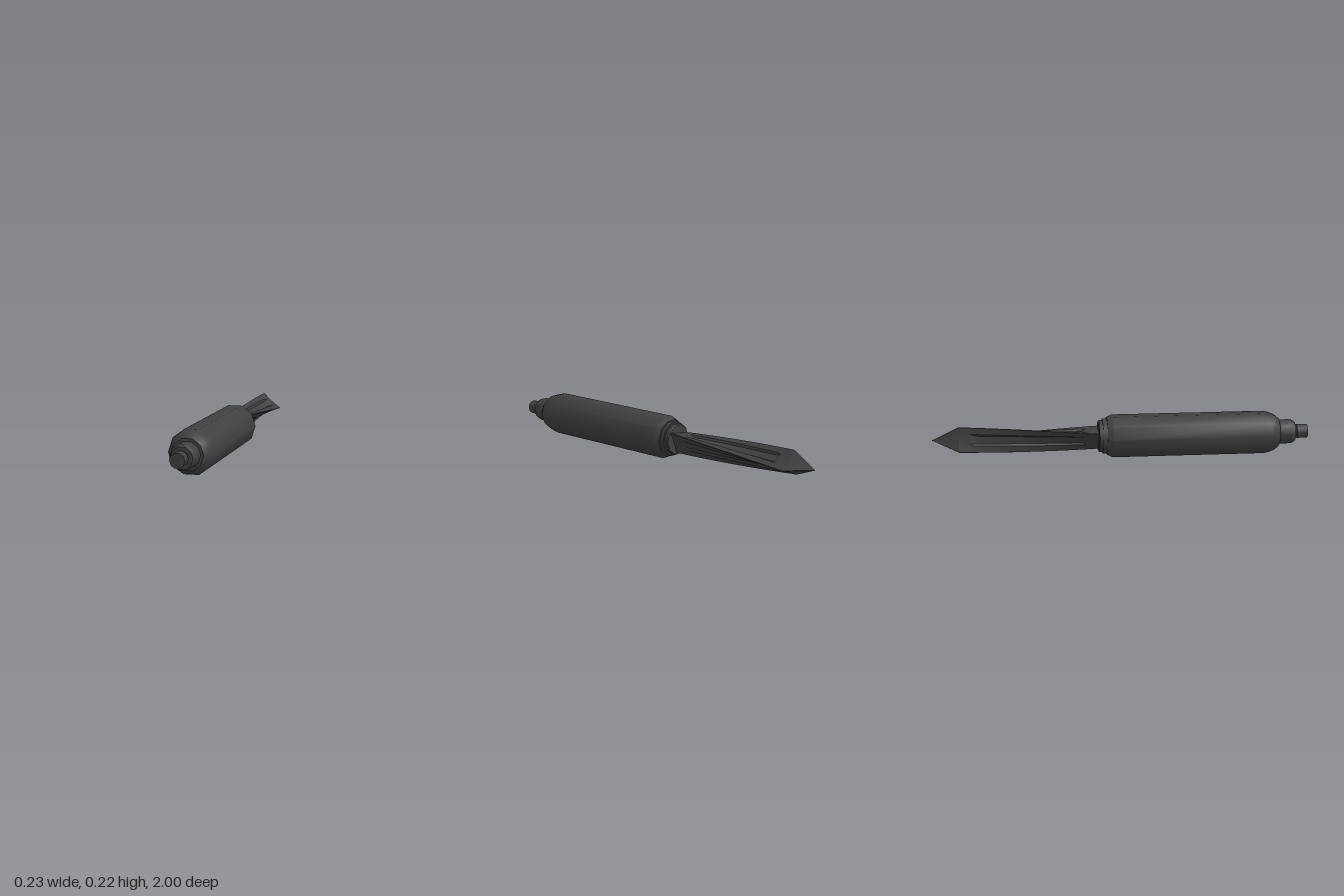
import * as THREE from 'three';
import { toCreasedNormals } from 'three/addons/utils/BufferGeometryUtils.js';

const AXIS_Y = 0.108;

// Ten-sided turned part along z; points are [radius, z] with z rising
function turned(name, points, material) {
  const profile = points.map(([r, z]) => new THREE.Vector2(r, z));
  const geometry = new THREE.LatheGeometry(profile, 10, Math.PI / 2);
  geometry.rotateX(Math.PI / 2);
  const mesh = new THREE.Mesh(toCreasedNormals(geometry, 0.7), material);
  mesh.name = name;
  return mesh;
}

// Twisted three-edged blade with a long groove sunk in each face
function bladeGeometry() {
  const stations = [-0.1, -0.13, -0.17, -0.195, -0.215];
  for (let i = 1; i < 14; i++) stations.push(-0.215 - i * 0.04);
  stations.push(-0.775, -0.8, -0.825, -0.86, -0.91, -0.96, -1);
  const across = [0.03, 0.28, 0.35, 0.65, 0.72, 0.97];
  const positions = [], index = [];

  for (const z of stations) {
    const along = THREE.MathUtils.clamp((-z - 0.13) / 0.73, 0, 1);
    const start = THREE.MathUtils.degToRad(38 - 49 * along);
    const radius = z > -0.86 ? 0.074 + 0.005 * along : Math.max(0.0005, 0.079 * (1 + z) / 0.14);
    const groove = z < -0.19 && z > -0.81 ? THREE.MathUtils.clamp(Math.min(-z - 0.195, 0.8 + z) / 0.02, 0, 1) : 0;
    for (let side = 0; side < 3; side++) {
      const a = start + side * Math.PI * 2 / 3, b = a + Math.PI * 2 / 3, mid = a + Math.PI / 3;
      across.forEach((t, j) => {
        const sunk = 0.2 * radius * t * (1 - t) + (j === 2 || j === 3 ? 0.009 * groove : 0);
        positions.push(
          radius * (Math.cos(a) * (1 - t) + Math.cos(b) * t) - sunk * Math.cos(mid),
          radius * (Math.sin(a) * (1 - t) + Math.sin(b) * t) - sunk * Math.sin(mid),
          z
        );
      });
    }
  }

  const n = across.length * 3;
  for (let i = 0; i < stations.length - 1; i++) {
    for (let j = 0; j < n; j++) {
      const a = i * n + j, b = i * n + (j + 1) % n;
      index.push(a, a + n, b, b, a + n, b + n);
    }
  }
  const geometry = new THREE.BufferGeometry();
  geometry.setAttribute('position', new THREE.Float32BufferAttribute(positions, 3));
  geometry.setIndex(index);
  return toCreasedNormals(geometry, 0.25);
}

export function createModel() {
  const group = new THREE.Group();
  group.name = 'triEdgedDagger';
  const darkSteel = new THREE.MeshStandardMaterial({ color: 0x404040 });
  darkSteel.name = 'darkSteel';

  // Grip with rounded shoulder at the pommel end
  group.add(turned('grip', [
    [0, -0.085], [0.1, -0.085], [0.114, -0.055], [0.114, 0.76],
    [0.108, 0.79], [0.096, 0.82], [0.08, 0.84], [0, 0.84]
  ], darkSteel));

  // Stepped collar between grip and blade
  group.add(turned('collar', [
    [0, -0.13], [0.08, -0.13], [0.085, -0.125], [0.085, -0.108],
    [0.093, -0.108], [0.093, -0.08], [0, -0.08]
  ], darkSteel));

  // Pommel and its end stud
  group.add(turned('pommel', [
    [0, 0.83], [0.065, 0.83], [0.065, 0.91], [0.055, 0.93], [0, 0.93]
  ], darkSteel));
  group.add(turned('pommelStud', [
    [0, 0.92], [0.03, 0.92], [0.03, 0.938], [0.037, 0.943], [0.037, 1], [0, 1]
  ], darkSteel));

  const blade = new THREE.Mesh(bladeGeometry(), darkSteel);
  blade.name = 'blade';
  group.add(blade);

  group.children.forEach((part) => { part.position.y = AXIS_Y; });
  return group;
}
